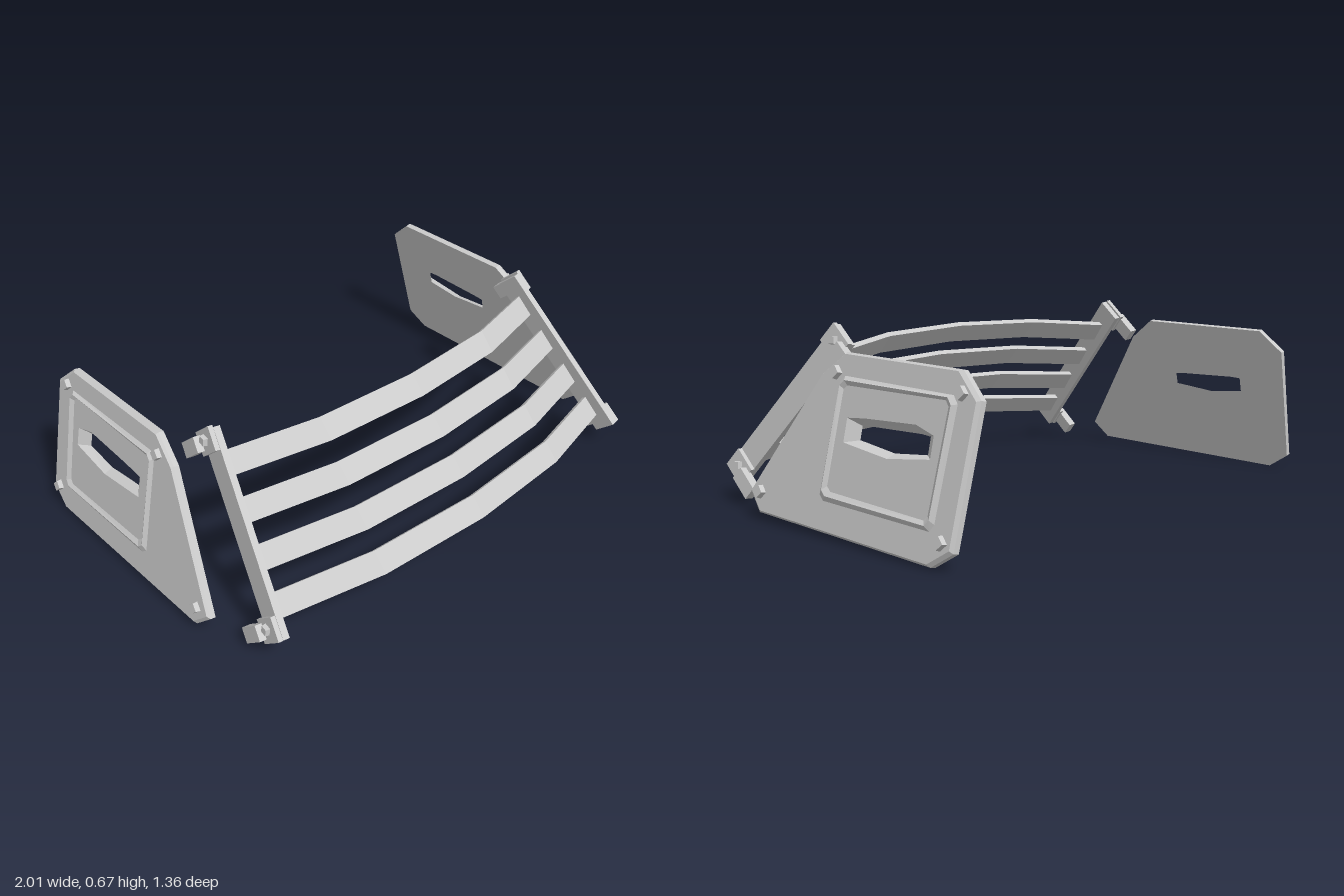
import * as THREE from 'three';

const material = new THREE.MeshStandardMaterial({ color: 0xcccccc, flatShading: true });

// Copy of a geometry reflected in x, with its winding put right
function mirrored(geometry) {
  const g = geometry.index ? geometry.toNonIndexed() : geometry.clone();
  g.scale(-1, 1, 1);
  const p = g.attributes.position;
  const a = new THREE.Vector3(), b = new THREE.Vector3();
  for (let i = 0; i < p.count; i += 3) {
    a.fromBufferAttribute(p, i + 1);
    b.fromBufferAttribute(p, i + 2);
    p.setXYZ(i + 1, b.x, b.y, b.z);
    p.setXYZ(i + 2, a.x, a.y, a.z);
  }
  g.computeVertexNormals();
  return g;
}

// Closed skin through rings of equal point count, the last joined to the first
function loftLoop(rings) {
  const pos = [];
  const n = rings[0].length;
  rings.forEach((a, r) => {
    const b = rings[(r + 1) % rings.length];
    for (let i = 0; i < n; i++) {
      const j = (i + 1) % n;
      pos.push(...a[i], ...a[j], ...b[j], ...a[i], ...b[j], ...b[i]);
    }
  });
  const g = new THREE.BufferGeometry();
  g.setAttribute('position', new THREE.Float32BufferAttribute(pos, 3));
  g.computeVertexNormals();
  return g;
}

// Four-sided bolt head pointing along z
function boltHead(radius, height, x, y, z) {
  return new THREE.CylinderGeometry(radius * 0.85, radius, height, 4)
    .rotateX(Math.PI / 2).translate(x, y, z);
}

function box(x0, x1, y0, y1, z0, z1) {
  return new THREE.BoxGeometry(x1 - x0, y1 - y0, z1 - z0)
    .translate((x0 + x1) / 2, (y0 + y1) / 2, (z0 + z1) / 2);
}

export function createModel() {
  const model = new THREE.Group();
  model.name = 'slattedGuardWithSidePanels';

  const add = (name, geometry) => {
    const mesh = new THREE.Mesh(geometry, material);
    mesh.name = name;
    model.add(mesh);
  };
  const addPair = (name, geometry, frame) => {
    geometry.applyMatrix4(frame);
    add(name + 'Left', geometry);
    add(name + 'Right', mirrored(geometry));
  };

  // Side panels: drawn flat (x runs backward, y up, z outward), then leaned inward
  const lean = 0.232;
  const c = Math.cos(lean), s = Math.sin(lean);
  const panelFrame = new THREE.Matrix4().makeBasis(
    new THREE.Vector3(0, 0, -1), new THREE.Vector3(-s, c, 0), new THREE.Vector3(c, s, 0)
  ).setPosition(0.97, 0, 0);
  const flatY = y => (y - 0.007) / c;
  const ring = (points, z, scale = 1) => points.map(([x, y]) =>
    [0.15 + (x - 0.15) * scale, flatY(0.3 + (y - 0.3) * scale), z]);

  const outline = [[-0.273, 0.026], [0.58, 0.007], [0.665, 0.062], [0.68, 0.5],
    [0.588, 0.582], [0.053, 0.593], [-0.05, 0.516], [-0.339, 0.088]];
  const frameOuter = [[0.06, 0.117], [0.56, 0.107], [0.577, 0.13], [0.595, 0.48],
    [0.573, 0.505], [0.072, 0.517], [0.05, 0.495], [0.038, 0.135]];
  const frameInner = [[0.09, 0.15], [0.53, 0.135], [0.545, 0.15], [0.56, 0.47],
    [0.545, 0.487], [0.09, 0.488], [0.075, 0.475], [0.07, 0.165]];
  const slotFront = [[0.16, 0.305], [0.33, 0.287], [0.518, 0.31], [0.518, 0.38],
    [0.435, 0.403], [0.2, 0.395], [0.115, 0.388], [0.115, 0.31]];
  const slotBack = [[0.19, 0.322], [0.33, 0.306], [0.475, 0.32], [0.475, 0.375],
    [0.435, 0.378], [0.2, 0.373], [0.16, 0.37], [0.16, 0.325]];
  const frameRim = frameOuter.map(([x, y], i) =>
    [(x + frameInner[i][0]) / 2, (y + frameInner[i][1]) / 2]);

  addPair('sidePanel', loftLoop([
    ring(outline, 0), ring(outline, 0.021), ring(outline, 0.03, 0.975),
    ring(frameOuter, 0.03), ring(frameRim, 0.041), ring(frameInner, 0.031),
    ring(slotFront, 0.031), ring(slotBack, 0)
  ]), panelFrame);

  for (const [x, y] of [[0.031, 0.524], [0.61, 0.513], [0.617, 0.084], [-0.269, 0.095]]) {
    addPair('panelBolt', boltHead(0.025, 0.024, x, flatY(y), 0.036), panelFrame);
  }

  // Sloping rails: x runs backward, y along the rail, z outward
  const railBottom = new THREE.Vector3(0.86, 0.11, 0.56);
  const railTop = new THREE.Vector3(0.75, 0.59, 0.13);
  const along = railTop.clone().sub(railBottom);
  const length = along.length();
  along.normalize();
  const back = new THREE.Vector3(0, -along.z, along.y).negate().normalize();
  back.set(0, along.z, -along.y).normalize();
  const outward = new THREE.Vector3().crossVectors(back, along);
  const railFrame = new THREE.Matrix4().makeBasis(back, along, outward).setPosition(railBottom);

  addPair('rail', box(-0.05, 0.05, -0.02, length + 0.055, -0.0125, 0.0125), railFrame);

  // Stepped mounting brackets at both ends of each rail
  for (const y of [0.022, length + 0.02]) {
    addPair('bracketPlate', box(-0.048, 0.055, y - 0.043, y + 0.043, 0.0125, 0.03), railFrame);
    addPair('bracketLug', box(0.03, 0.13, y - 0.028, y + 0.028, 0.022, 0.056), railFrame);
    addPair('bracketBolt', boltHead(0.021, 0.018, 0, y + 0.005, 0.037), railFrame);
  }

  // Curved slats bowing forward between the rails
  const tilt = new THREE.Vector2(back.z, back.y).negate();
  for (let k = 0; k < 4; k++) {
    const endY = 0.167 + 0.122 * k;
    const endZ = 0.495 - 0.108 * k;
    const halfWidth = 0.847 - 0.028 * k;
    const g = new THREE.BoxGeometry(2, 0.09, 0.02, 4, 1, 1);
    const p = g.attributes.position;
    for (let i = 0; i < p.count; i++) {
      const station = Math.round(Math.abs(p.getX(i)) * 2);
      const bow = [1, 0.76, 0][station];
      const x = Math.sign(p.getX(i)) * [0, 0.53, 1][station] * halfWidth;
      const w = p.getY(i), t = p.getZ(i);
      p.setXYZ(i, x,
        endY + 0.04 * bow + w * tilt.x + t * tilt.y,
        endZ + 0.145 * bow - w * tilt.y + t * tilt.x);
    }
    g.computeVertexNormals();
    add('slat' + (k + 1), g);
  }

  return model;
}
